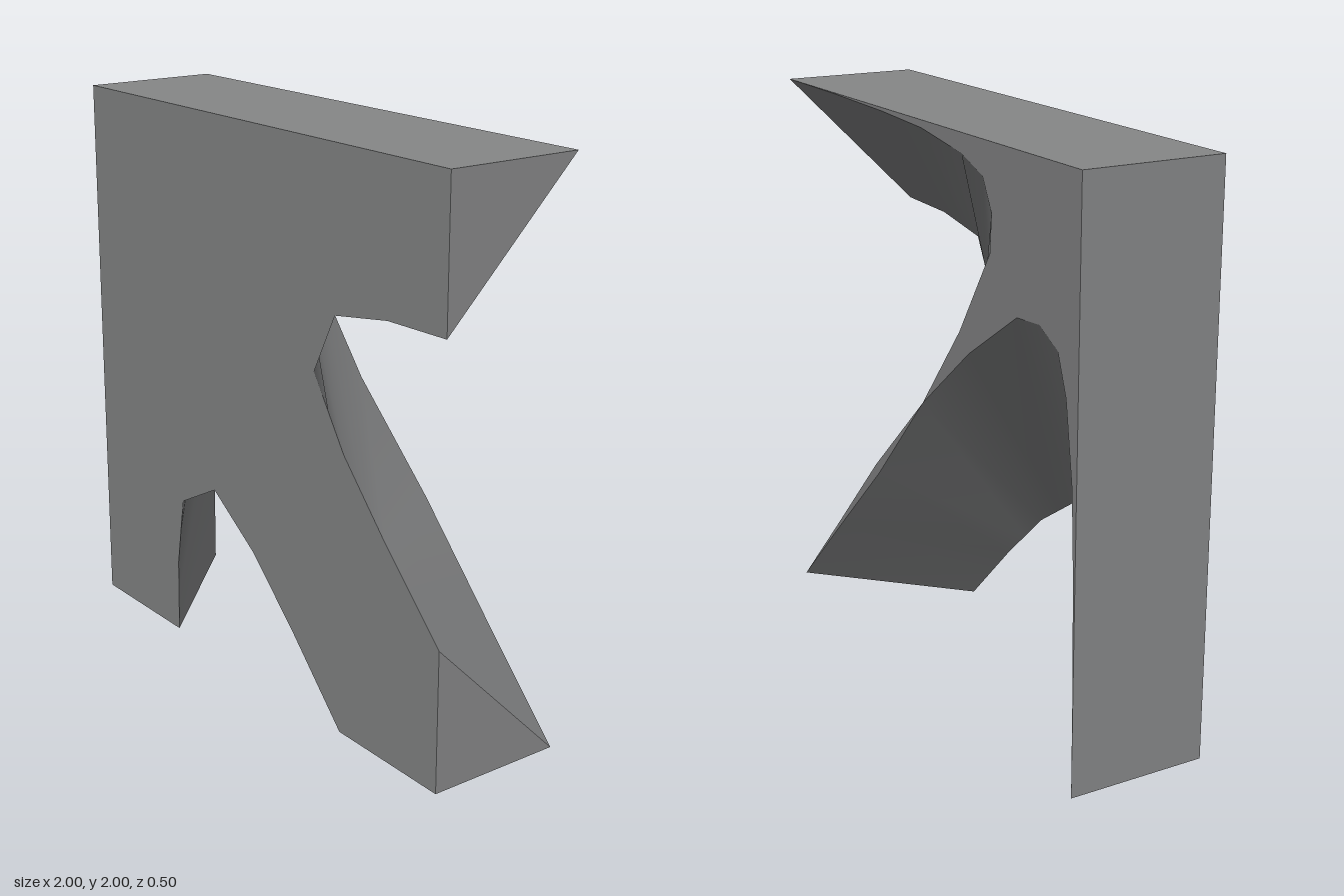
import * as THREE from 'three';

const DEPTH = 0.25;

// Cove edge on the front face, top to bottom
const FRONT = [[1, 1.5], [0.725, 1.494], [0.465, 1.452], [0.355, 1.24], [0.515, 1.0], [0.73, 0.768], [1, 0.5]];
// Cove edge on the back face: two steps for each front step
const BACK = [[1, 2], [0.62, 1.997], [0.24, 1.988], [-0.04, 1.974], [-0.307, 1.934], [-0.44, 1.885], [-0.495, 1.78],
  [-0.485, 1.65], [-0.29, 1.35], [-0.03, 1.03], [0.34, 0.685], [0.67, 0.34], [1, 0]];

// Insert the midpoint of every segment
function subdivide(pts) {
  const out = [pts[0]];
  for (let i = 1; i < pts.length; i++) {
    const [a, b] = [pts[i - 1], pts[i]];
    out.push([(a[0] + b[0]) / 2, (a[1] + b[1]) / 2], b);
  }
  return out;
}

// Mirror an edge over the diagonal, keeping the clockwise order
const mirror = (pts) => pts.map(([x, y]) => [1 - y, 1 - x]).reverse();

// Ruled strip between a front edge and a back edge
function strip(front, back) {
  const pos = [], index = [];
  front.forEach((f, i) => pos.push(f[0], f[1], DEPTH, back[i][0], back[i][1], -DEPTH));
  for (let i = 0; i < front.length - 1; i++) {
    const f = 2 * i;
    index.push(f, f + 2, f + 1, f + 2, f + 3, f + 1);
  }
  const g = new THREE.BufferGeometry();
  g.setAttribute('position', new THREE.Float32BufferAttribute(pos, 3));
  g.setIndex(index);
  g.computeVertexNormals();
  return g;
}

function cap(pts) {
  return new THREE.ShapeGeometry(new THREE.Shape(pts.map(([x, y]) => new THREE.Vector2(x, y))));
}

export function createModel() {
  const group = new THREE.Group();
  const grey = new THREE.MeshStandardMaterial({ color: 0x868788 });
  grey.name = 'grey';
  const add = (name, geometry) => {
    const mesh = new THREE.Mesh(geometry, grey);
    mesh.name = name;
    group.add(mesh);
  };

  // Front and back faces
  add('frontFace', cap([[-1, 2], [1, 2], ...FRONT, [1, 0], ...mirror(FRONT), [-1, 0]]).translate(0, 0, DEPTH));
  const backOutline = [[-1, 2], ...BACK, ...mirror(BACK).slice(1)];
  add('backFace', cap(backOutline.map(([x, y]) => [-x, y])).rotateY(Math.PI).translate(0, 0, -DEPTH));

  // Smooth flaring coves
  const fine = subdivide(FRONT);
  add('sideCove', strip(fine, BACK));
  add('lowerCove', strip(mirror(fine), mirror(BACK)));

  // Flat outer walls; the ends of the three arms taper to a point at the back
  const walls = {
    topWall: [[[-1, 2], [1, 2]], [[-1, 2], [1, 2]]],
    outerWall: [[[-1, 0], [-1, 2]], [[-1, 0], [-1, 2]]],
    upperArmEnd: [[[1, 2], [1, 1.5]], [[1, 2], [1, 2]]],
    diagonalArmSide: [[[1, 0.5], [1, 0]], [[1, 0], [1, 0]]],
    diagonalArmFoot: [[[1, 0], [0.5, 0]], [[1, 0], [1, 0]]],
    outerArmFoot: [[[-0.5, 0], [-1, 0]], [[-1, 0], [-1, 0]]],
  };
  for (const [name, [front, back]] of Object.entries(walls)) add(name, strip(front, back));

  return group;
}
